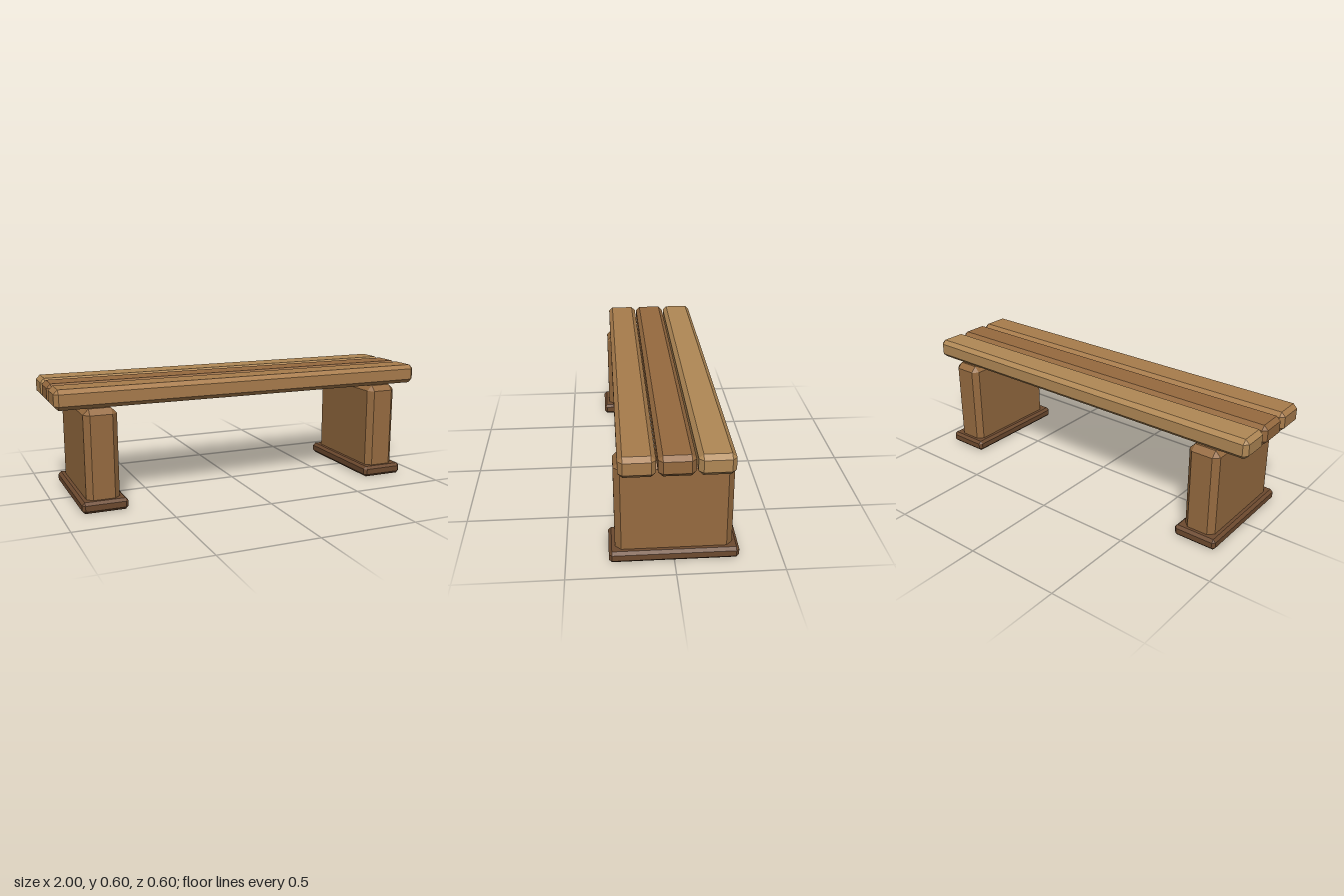
import * as THREE from 'three';
import { ConvexGeometry } from 'three/addons/geometries/ConvexGeometry.js';

// Box with every edge and corner cut at 45 degrees
function chamferedBox(w, h, d, c) {
  const half = [w / 2, h / 2, d / 2];
  const points = [];
  for (const sx of [-1, 1]) for (const sy of [-1, 1]) for (const sz of [-1, 1]) {
    for (let face = 0; face < 3; face++) {
      const p = half.map((v, axis) => (axis === face ? v : v - c));
      points.push(new THREE.Vector3(sx * p[0], sy * p[1], sz * p[2]));
    }
  }
  return new ConvexGeometry(points);
}

const wood = (color) => new THREE.MeshStandardMaterial({ color, flatShading: true });

export function createModel() {
  const bench = new THREE.Group();
  bench.name = 'bench';

  const add = (name, geometry, material, x, y, z) => {
    const mesh = new THREE.Mesh(geometry, material);
    mesh.name = name;
    mesh.position.set(x, y, z);
    bench.add(mesh);
  };

  // Seat planks, each in its own shade
  const planks = [
    ['frontPlank', 0xa87c4c, 0.172],
    ['middlePlank', 0x966a3f, 0],
    ['backPlank', 0xb08855, -0.172],
  ];
  const plankGeometry = chamferedBox(2, 0.1, 0.164, 0.021);
  for (const [name, color, z] of planks) add(name, plankGeometry, wood(color), 0, 0.552, z);

  // Slab legs standing on wider feet
  const legGeometry = chamferedBox(0.166, 0.486, 0.544, 0.0285);
  const footGeometry = chamferedBox(0.228, 0.057, 0.602, 0.014);
  const legMaterial = wood(0x966b40);
  const footMaterial = wood(0x6d4a2f);
  for (const [side, sign] of [['left', 1], ['right', -1]]) {
    add(side + 'Leg', legGeometry, legMaterial, sign * 0.786, 0.259, 0);
    add(side + 'Foot', footGeometry, footMaterial, sign * 0.786, 0.0285, 0);
  }

  return bench;
}
